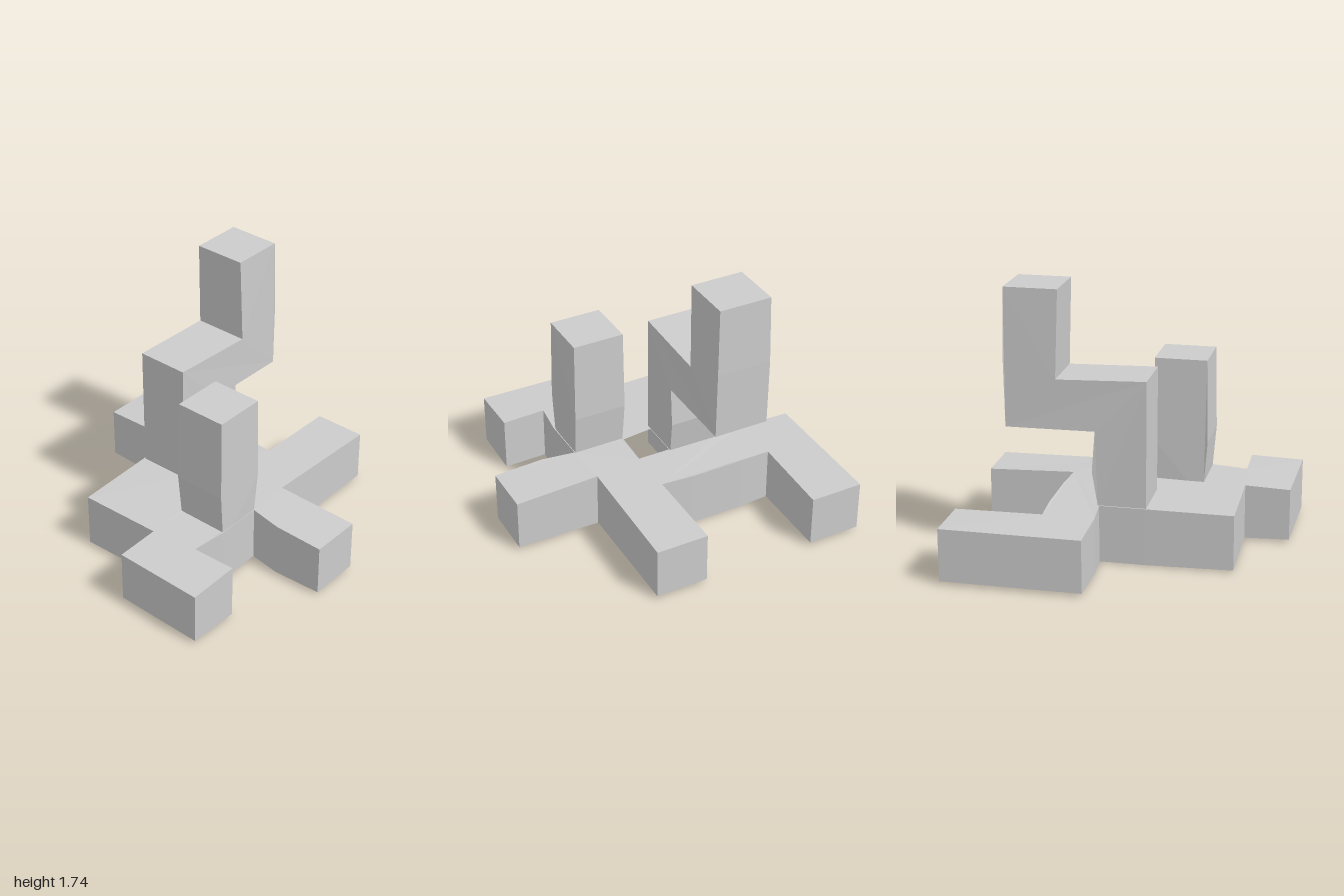
import * as THREE from 'three';

const material = new THREE.MeshStandardMaterial({ color: 0xcccccc, flatShading: true });

const toPoints = (list) => list.map(([a, b]) => new THREE.Vector2(a, b));

// Moves every vertex of a geometry by a rule and renews the flat normals
function reshape(geometry, rule) {
  const pos = geometry.attributes.position;
  const v = new THREE.Vector3();
  for (let i = 0; i < pos.count; i++) {
    rule(v.fromBufferAttribute(pos, i));
    pos.setXYZ(i, v.x, v.y, v.z);
  }
  geometry.computeVertexNormals();
  return geometry;
}

function addMesh(group, name, geometry) {
  const mesh = new THREE.Mesh(geometry, material);
  mesh.name = name;
  group.add(mesh);
}

// Side profile given as [z, y], extruded along x about centre cx
function sidePiece(profile, cx, halfWidth) {
  const geometry = new THREE.ExtrudeGeometry(new THREE.Shape(toPoints(profile)), {
    depth: 2, bevelEnabled: false,
  });
  geometry.rotateY(-Math.PI / 2).translate(1, 0, 0);
  return reshape(geometry, (v) => { v.x = cx + v.x * halfWidth(v.y, v.z); });
}

export function createModel() {
  const group = new THREE.Group();
  group.name = 'branchingBlocks';

  // Flat base: plan outline as [x, z], with a small square opening
  const outline = [
    [-1, -1], [-0.65, -1], [-0.66, -0.44], [-0.45, -0.45], [-0.1, -0.45], [0.115, -0.435],
    [0.105, -1], [0.45, -1], [0.44, -0.17], [1, -0.18], [1, 0.16], [0.67, 0.165],
    [0.455, 0.13], [0.458, 0.44], [0.43, 0.665], [0.72, 0.655], [0.72, 1], [0.115, 0.99],
    [0.115, 0.7], [-0.44, 0.715], [-0.455, 0.16], [-0.455, -0.13], [-0.66, -0.11], [-1, -0.11],
  ];
  const opening = [[-0.1, -0.13], [0.12, -0.13], [0.11, 0.105], [-0.1, 0.13]];
  const flip = ([x, z]) => [x, -z];
  const plan = new THREE.Shape(toPoints(outline.map(flip)));
  plan.holes.push(new THREE.Path(toPoints(opening.map(flip))));
  const base = new THREE.ExtrudeGeometry(plan, { depth: 1, bevelEnabled: false });
  base.rotateX(-Math.PI / 2);
  // The slab swells slightly towards its middle
  reshape(base, (v) => {
    const r = Math.max(Math.abs(v.x), Math.abs(v.z));
    const swell = 0.02 * (1 - r * r);
    v.y = v.y > 0.5 ? 0.362 + swell : 0.022 - swell;
  });
  addMesh(group, 'base', base);

  // Tall stepped tower: post, backward arm and upper post
  const tower = [
    [0.165, 0.25], [0.168, 1.195], [-0.4, 1.178], [-0.382, 1.74], [-0.722, 1.74],
    [-0.73, 1.3], [-0.722, 0.855], [-0.155, 0.86], [-0.175, 0.6], [-0.14, 0.37], [-0.135, 0.25],
  ];
  addMesh(group, 'steppedTower', sidePiece(tower, -0.275,
    (y, z) => (z < 0 && y > 0.5 && y < 1.4 ? 0.18 : 0.172)));

  // Short straight post
  const post = [
    [0.425, 0.25], [0.43, 0.37], [0.453, 0.65], [0.443, 1.19],
    [0.105, 1.19], [0.1, 0.65], [0.125, 0.37], [0.13, 0.25],
  ];
  addMesh(group, 'shortPost', sidePiece(post, 0.28,
    (y) => (y > 0.5 && y < 1 ? 0.176 : 0.17)));

  return group;
}
